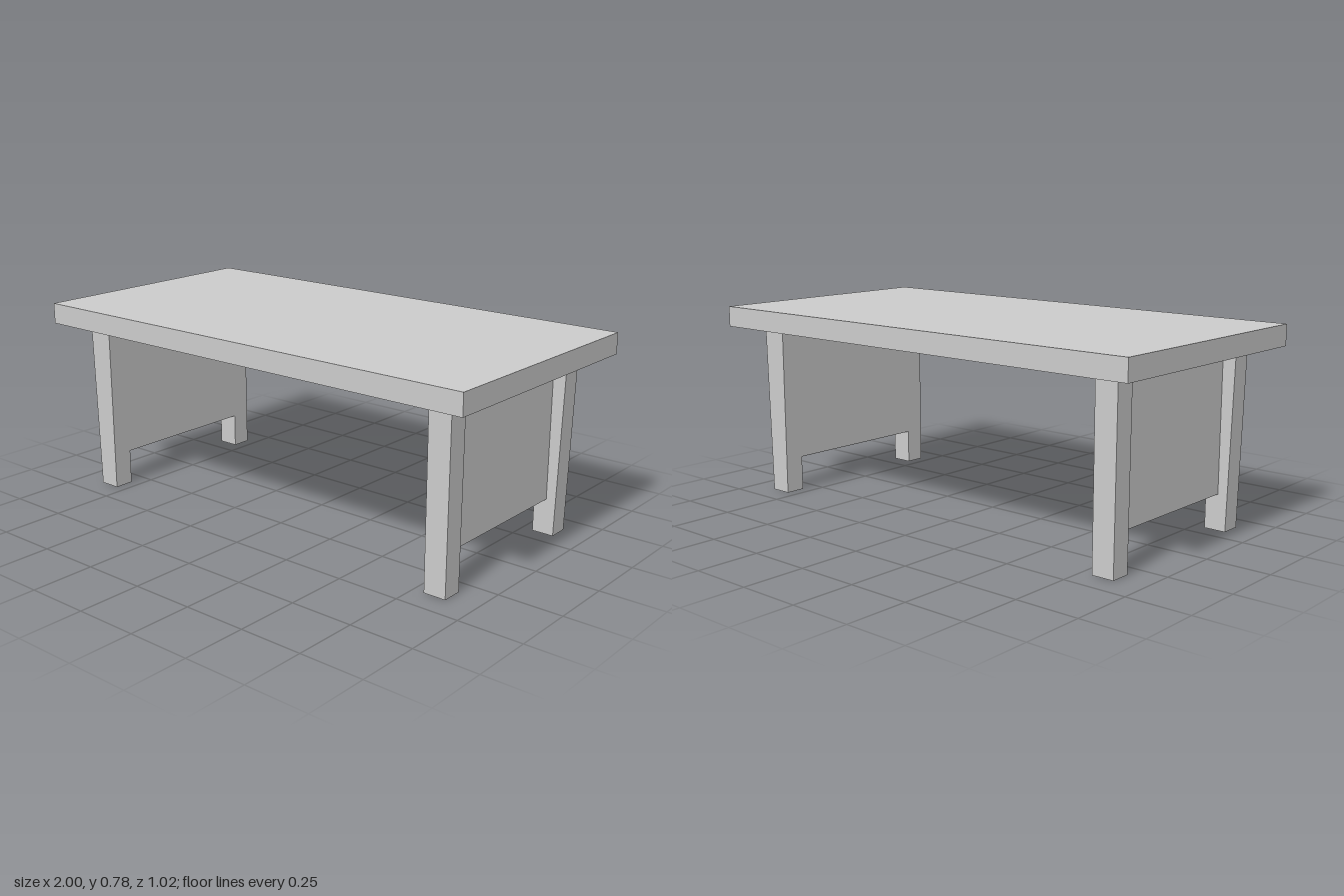
import * as THREE from 'three';

const TOP_Y = 0.783, UNDER_Y = 0.70;          // tabletop upper and lower faces
const LEG_IN = 0.795, LEG_OUT = 0.884;        // leg extent in x
const LEG_Z0 = 0.32, LEG_Z1 = 0.402;          // leg extent in z

const material = new THREE.MeshStandardMaterial({ color: 0xcccccc, flatShading: true });
const openMaterial = new THREE.MeshStandardMaterial({
  color: 0xcccccc, flatShading: true, side: THREE.DoubleSide,
});

// Box given by its two extreme corners
function boxBetween(x0, x1, y0, y1, z0, z1) {
  return new THREE.BoxGeometry(x1 - x0, y1 - y0, z1 - z0)
    .translate((x0 + x1) / 2, (y0 + y1) / 2, (z0 + z1) / 2);
}

function addMesh(group, name, geometry, mat = material) {
  const mesh = new THREE.Mesh(geometry, mat);
  mesh.name = name;
  group.add(mesh);
}

// Hollow square leg, open at both ends; flare pushes the outer face out at the top
function legGeometry(zSide, flare) {
  const z = [zSide * LEG_Z0, zSide * LEG_Z1].sort((a, b) => a - b);
  const geometry = boxBetween(LEG_IN, LEG_OUT, 0, UNDER_Y, z[0], z[1]);
  const index = Array.from(geometry.index.array);
  index.splice(12, 12);                       // drop the top and bottom faces
  geometry.setIndex(index);
  const p = geometry.attributes.position;
  for (let i = 0; i < p.count; i++) {
    if (p.getY(i) > 0.5 && p.getX(i) > 0.84) p.setX(i, p.getX(i) + flare);
  }
  geometry.computeVertexNormals();
  return geometry;
}

export function createModel() {
  const table = new THREE.Group();
  table.name = 'table';

  addMesh(table, 'tabletop', boxBetween(-1, 1, UNDER_Y, TOP_Y, -0.511, 0.511));

  // Two identical ends, the second turned half round
  for (const [name, turn] of [['left', 0], ['right', Math.PI]]) {
    const end = new THREE.Group();
    end.name = name + 'End';
    end.rotation.y = turn;
    addMesh(end, 'straightLeg', legGeometry(1, 0.003), openMaterial);
    addMesh(end, 'taperedLeg', legGeometry(-1, 0.018), openMaterial);
    // Panel flush with the inner faces of the legs
    addMesh(end, 'endPanel', boxBetween(LEG_IN, LEG_IN + 0.053, 0.142, UNDER_Y, -LEG_Z0, LEG_Z0));
    table.add(end);
  }
  return table;
}
